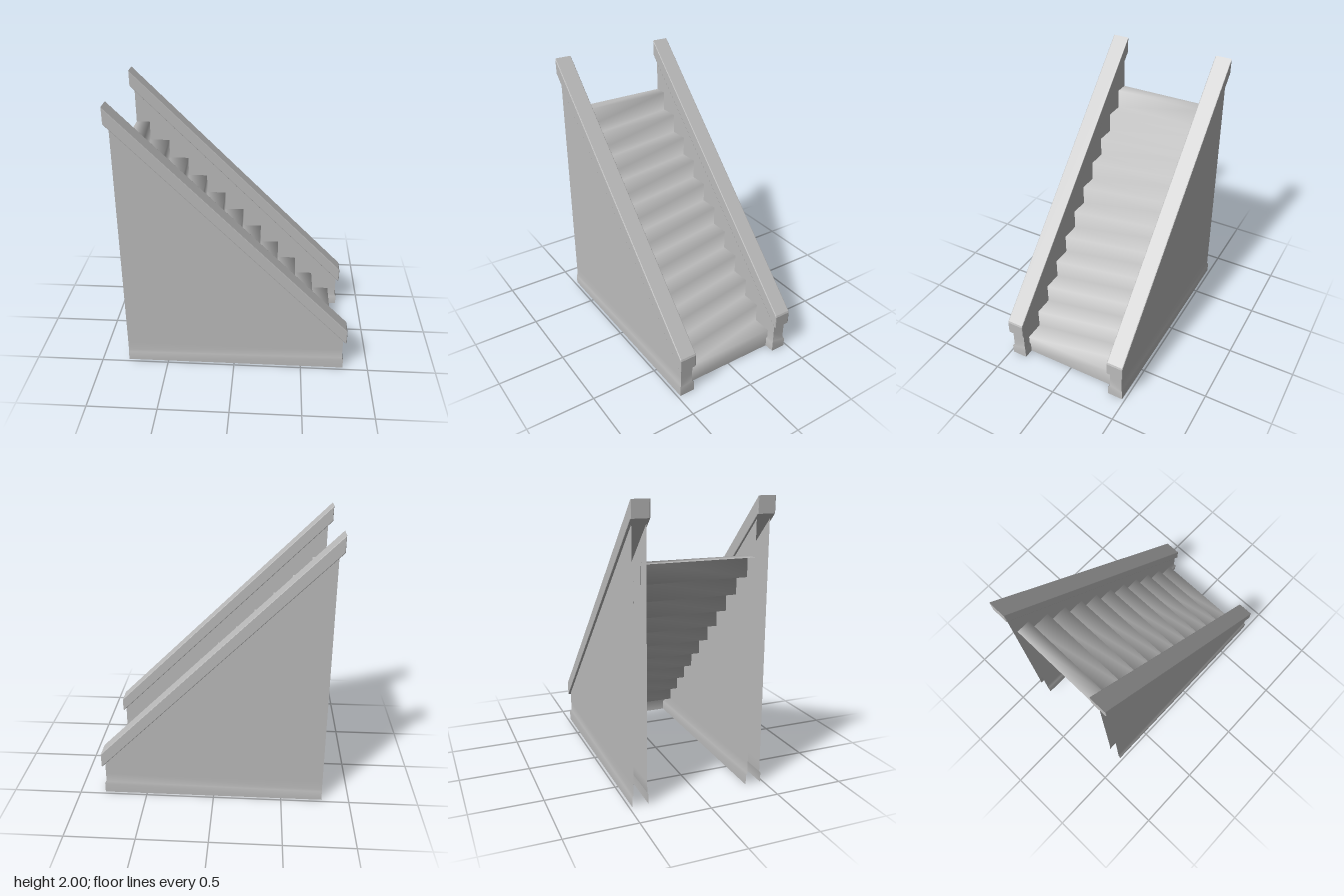
import * as THREE from 'three';

const grey = new THREE.MeshStandardMaterial({ color: 0xbcbcbc, side: THREE.DoubleSide });
grey.name = 'stone grey';

// Smooth open surface through equal-length rows of [x, y, z] points
function sheet(rows) {
  const n = rows[0].length;
  const index = [];
  for (let i = 0; i < rows.length - 1; i++) {
    for (let j = 0; j < n - 1; j++) {
      const a = i * n + j, b = a + 1, d = a + n, c = d + 1;
      index.push(a, b, c, a, c, d);
    }
  }
  const geometry = new THREE.BufferGeometry();
  geometry.setAttribute('position', new THREE.Float32BufferAttribute(rows.flat(2), 3));
  geometry.setIndex(index);
  geometry.computeVertexNormals();
  return geometry;
}

function mesh(name, geometry) {
  const m = new THREE.Mesh(geometry, grey);
  m.name = name;
  return m;
}

// Eleven risers and treads as one folded sheet
function createSteps() {
  const count = 11, rise = 1.605 / count, run = 0.144, half = 0.375;
  const profile = [[0.74, 0]];
  for (let i = 0; i < count; i++) {
    const x = 0.74 - i * run;
    profile.push([x, (i + 1) * rise]);
    profile.push([i === count - 1 ? -0.8 : x - run, (i + 1) * rise]);
  }
  return mesh('steps', sheet(profile.map(([x, y]) => [[x, y, half], [x, y, -half]])));
}

// Hollow side wall, open at the back and underneath, with a flared plinth
function createWall() {
  const wall = new THREE.Group();
  wall.name = 'sideWall';
  const levels = [[0, 0.01], [0.07, 0.01], [0.085, 0], [0.16, 0], [null, 0]];
  const plan = (f) => [[-0.8, 0.469 + f], [0.805 + f, 0.469 + f], [0.805 + f, 0.374 - f], [-0.8, 0.374 - f]];
  ['outerFace', 'frontEnd', 'innerFace'].forEach((name, k) => {
    const rows = levels.map(([y, f]) =>
      plan(f).slice(k, k + 2).map(([x, z]) => [x, y === null ? 1.065 - x : y, z]));
    wall.add(mesh(name, sheet(rows)));
  });
  return wall;
}

// Sloping handrail with softened edges
function createRail() {
  const bevel = 0.006, z0 = 0.36, z1 = 0.487;
  const shape = new THREE.Shape([
    [-0.835, 1.885], [0.815, 0.235], [0.824, 0.226], [0.83, 0.232],
    [0.83, 0.328], [0.824, 0.341], [-0.835, 2],
  ].map(([x, y]) => new THREE.Vector2(x, y)));
  const geometry = new THREE.ExtrudeGeometry(shape, {
    depth: z1 - z0 - 2 * bevel, bevelEnabled: true, bevelSize: bevel,
    bevelThickness: bevel, bevelOffset: -bevel, bevelSegments: 2,
  });
  geometry.translate(0, 0, z0 + bevel);
  return mesh('handrail', geometry);
}

export function createModel() {
  const model = new THREE.Group();
  model.name = 'staircase';
  model.add(createSteps());

  // Matching walls and rails on both sides
  for (const side of [1, -1]) {
    const flank = new THREE.Group();
    flank.name = side > 0 ? 'frontSide' : 'backSide';
    flank.add(createWall(), createRail());
    flank.scale.z = side;
    model.add(flank);
  }
  return model;
}
